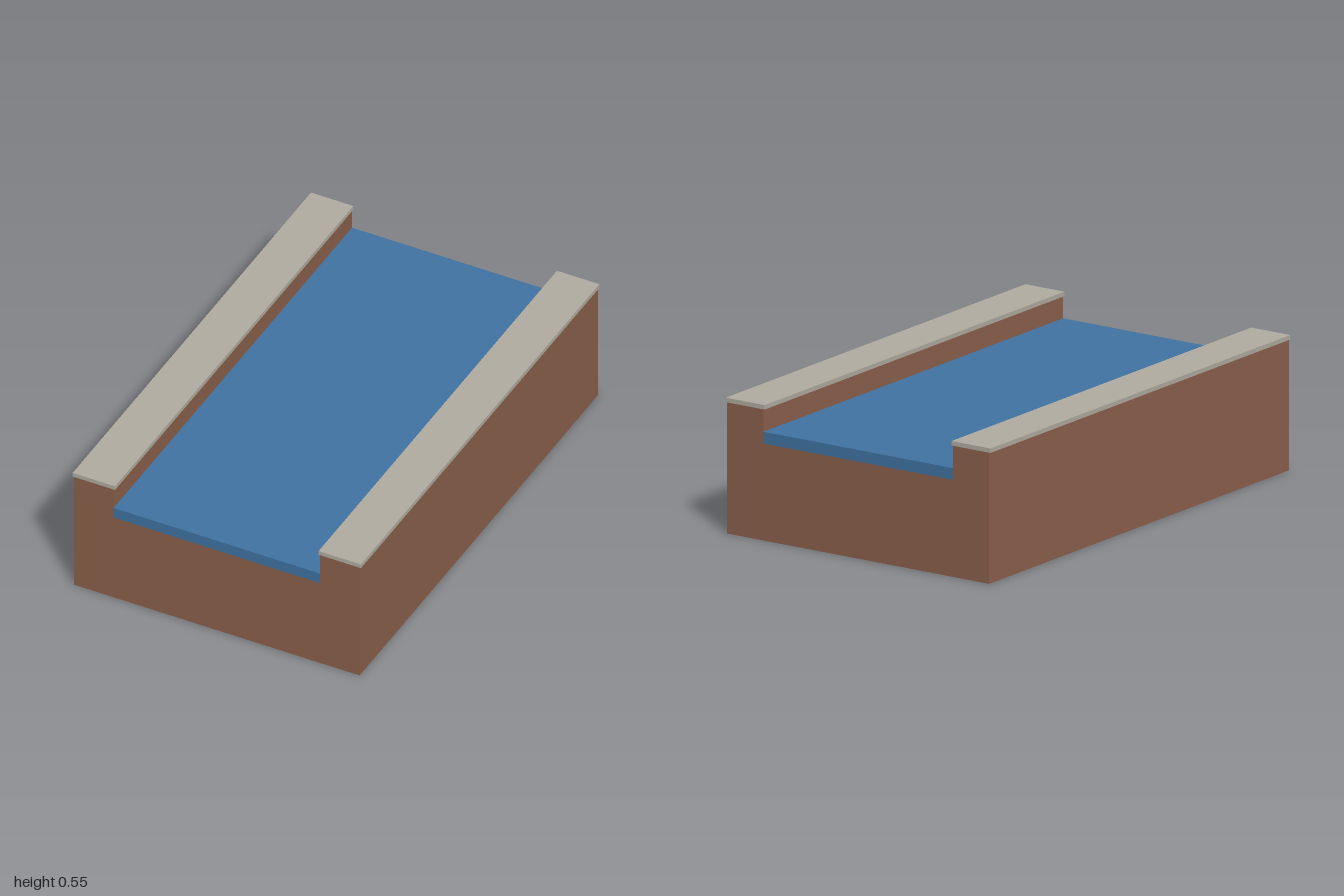
import * as THREE from 'three';

const LENGTH = 2;

export function createModel() {
  const model = new THREE.Group();
  model.name = 'canalSection';

  const earth = new THREE.MeshStandardMaterial({ name: 'brown earth', color: 0x8b604b });
  const stone = new THREE.MeshStandardMaterial({ name: 'pale stone', color: 0xb0aca0 });
  const blue = new THREE.MeshStandardMaterial({ name: 'water blue', color: 0x4073a3 });

  const add = (name, geometry, material, x, y, z) => {
    const mesh = new THREE.Mesh(geometry, material);
    mesh.name = name;
    mesh.position.set(x, y, z);
    model.add(mesh);
  };

  // U-shaped channel: bed and both banks in one cross-section
  const outer = 0.623, inner = 0.45, bed = 0.39, bankTop = 0.527;
  const section = new THREE.Shape([
    [-outer, 0], [outer, 0], [outer, bankTop], [inner, bankTop],
    [inner, bed], [-inner, bed], [-inner, bankTop], [-outer, bankTop],
  ].map(([x, y]) => new THREE.Vector2(x, y)));
  add('channel', new THREE.ExtrudeGeometry(section, { depth: LENGTH, bevelEnabled: false }),
    earth, 0, 0, -LENGTH / 2);

  // Water filling the bottom of the channel
  const waterTop = 0.437;
  add('water', new THREE.BoxGeometry(inner * 2, waterTop - bed, LENGTH),
    blue, 0, (waterTop + bed) / 2, 0);

  // Coping stones slightly overhanging each bank
  const capWidth = 0.185, capHeight = 0.018;
  for (const [name, side] of [['leftCoping', 1], ['rightCoping', -1]]) {
    add(name, new THREE.BoxGeometry(capWidth, capHeight, LENGTH),
      stone, side * (outer + inner) / 2, bankTop + capHeight / 2, 0);
  }

  return model;
}
